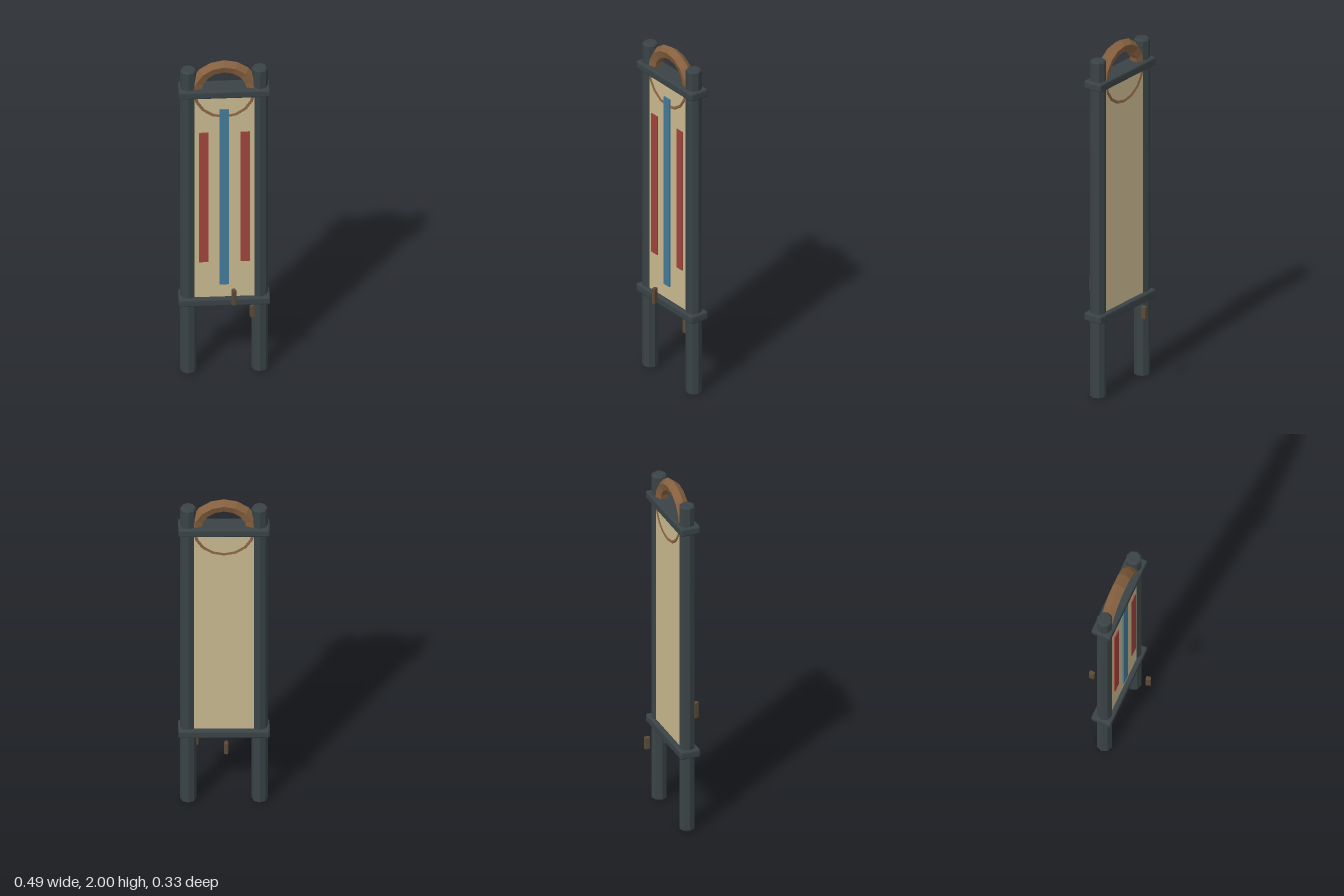
import * as THREE from 'three';
import { RoundedBoxGeometry } from 'three/addons/geometries/RoundedBoxGeometry.js';

const mat = (color) => new THREE.MeshStandardMaterial({ color, flatShading: true });

export function createModel() {
  const model = new THREE.Group();
  const slate = mat(0x3a4346), cloth = mat(0xc9b98f), wood = mat(0x85603f);
  const red = mat(0xa0443c), blue = mat(0x437a9a), bark = mat(0x5c4a38);

  const add = (name, geometry, material, x, y, z, turn = 0) => {
    const mesh = new THREE.Mesh(geometry, material);
    mesh.name = name;
    mesh.position.set(x, y, z);
    mesh.rotation.y = turn;
    model.add(mesh);
  };
  // box with chamfered edges
  const chamferBox = (w, h, d, c) => new RoundedBoxGeometry(w, h, d, 1, c);

  // octagonal posts with chamfered ends
  const r = 0.043, top = 1.95, c = 0.008;
  const profile = [[0, 0], [r - c, 0], [r, c], [r, top - c], [r - c, top], [0, top]]
    .map(([x, y]) => new THREE.Vector2(x, y));
  for (const [side, name] of [[1, 'leftPost'], [-1, 'rightPost']]) {
    add(name, new THREE.LatheGeometry(profile, 8), slate, side * 0.19, 0, 0);
  }

  // crossbars
  add('topBar', chamferBox(0.486, 0.047, 0.112, 0.009), slate, 0, 1.811, 0);
  add('bottomBar', chamferBox(0.486, 0.047, 0.112, 0.009), slate, 0, 0.468, 0);

  // hanging panel
  add('panel', new THREE.BoxGeometry(0.33, 1.34, 0.06), cloth, 0, 1.14, 0);

  // ring with a five-sided section, sunk into the panel
  add('ring', new THREE.TorusGeometry(0.151, 0.036, 5, 16), wood, 0, 1.813, 0);

  // stripes on the front of the panel
  add('centreStripe', new THREE.BoxGeometry(0.05, 1.13, 0.014), blue, 0, 1.14, 0.032);
  for (const [side, name] of [[1, 'leftStripe'], [-1, 'rightStripe']]) {
    add(name, new THREE.BoxGeometry(0.05, 0.835, 0.012), red, side * 0.11, 1.138, 0.03);
  }

  // small loose chips
  add('frontChip', chamferBox(0.021, 0.095, 0.028, 0.004), bark, 0.044, 0.568, 0.15, 0.32);
  add('backChip', chamferBox(0.021, 0.072, 0.03, 0.004), bark, -0.011, 0.46, -0.154, -0.04);
  add('sideChip', chamferBox(0.024, 0.08, 0.028, 0.004), bark, 0.149, 0.39, 0.022, 0.2);

  return model;
}
